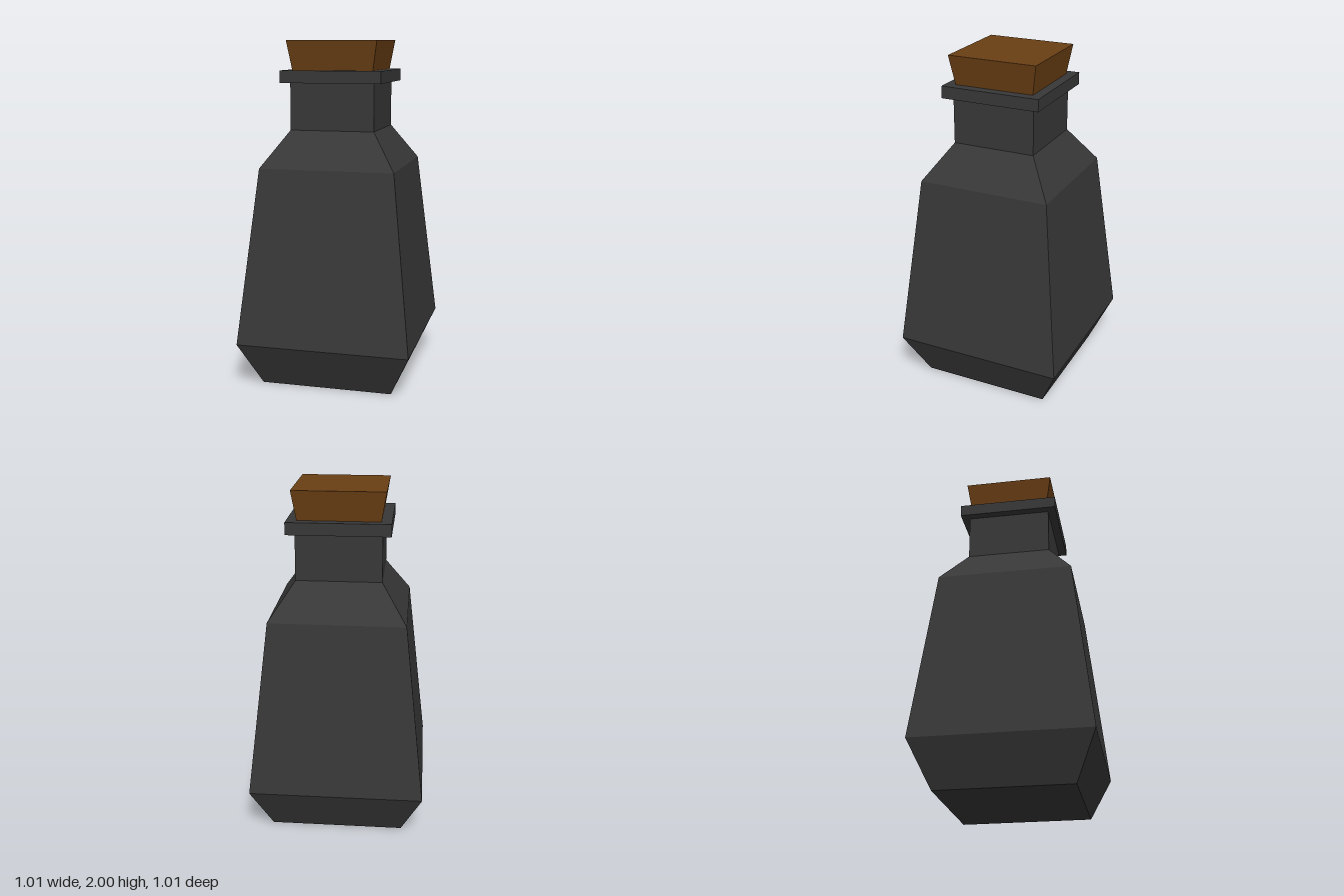
import * as THREE from 'three';

// Square-section solid: profile of [half width, height] from bottom to top
function squareTurned(name, profile, material) {
  const points = profile.map(([half, y]) => new THREE.Vector2(half * Math.SQRT2, y));
  const geometry = new THREE.LatheGeometry(points, 4, Math.PI / 4).toNonIndexed();
  geometry.computeVertexNormals();
  const mesh = new THREE.Mesh(geometry, material);
  mesh.name = name;
  return mesh;
}

export function createModel() {
  const glass = new THREE.MeshStandardMaterial({ color: 0x383838, flatShading: true });
  const corkwood = new THREE.MeshStandardMaterial({ color: 0x6a3f14, flatShading: true });

  const bottle = new THREE.Group();
  bottle.name = 'bottle';

  // Chamfered base, tapering body, sloped shoulder and straight neck
  bottle.add(squareTurned('body', [
    [0, 0], [0.385, 0], [0.505, 0.26], [0.39, 1.28], [0.245, 1.49], [0.245, 1.76],
  ], glass));

  // Flat lip around the mouth
  bottle.add(squareTurned('lip', [
    [0, 1.76], [0.293, 1.76], [0.293, 1.83], [0, 1.83],
  ], glass));

  // Stopper, wider at the top
  bottle.add(squareTurned('cork', [
    [0.235, 1.83], [0.263, 2], [0, 2],
  ], corkwood));

  return bottle;
}
